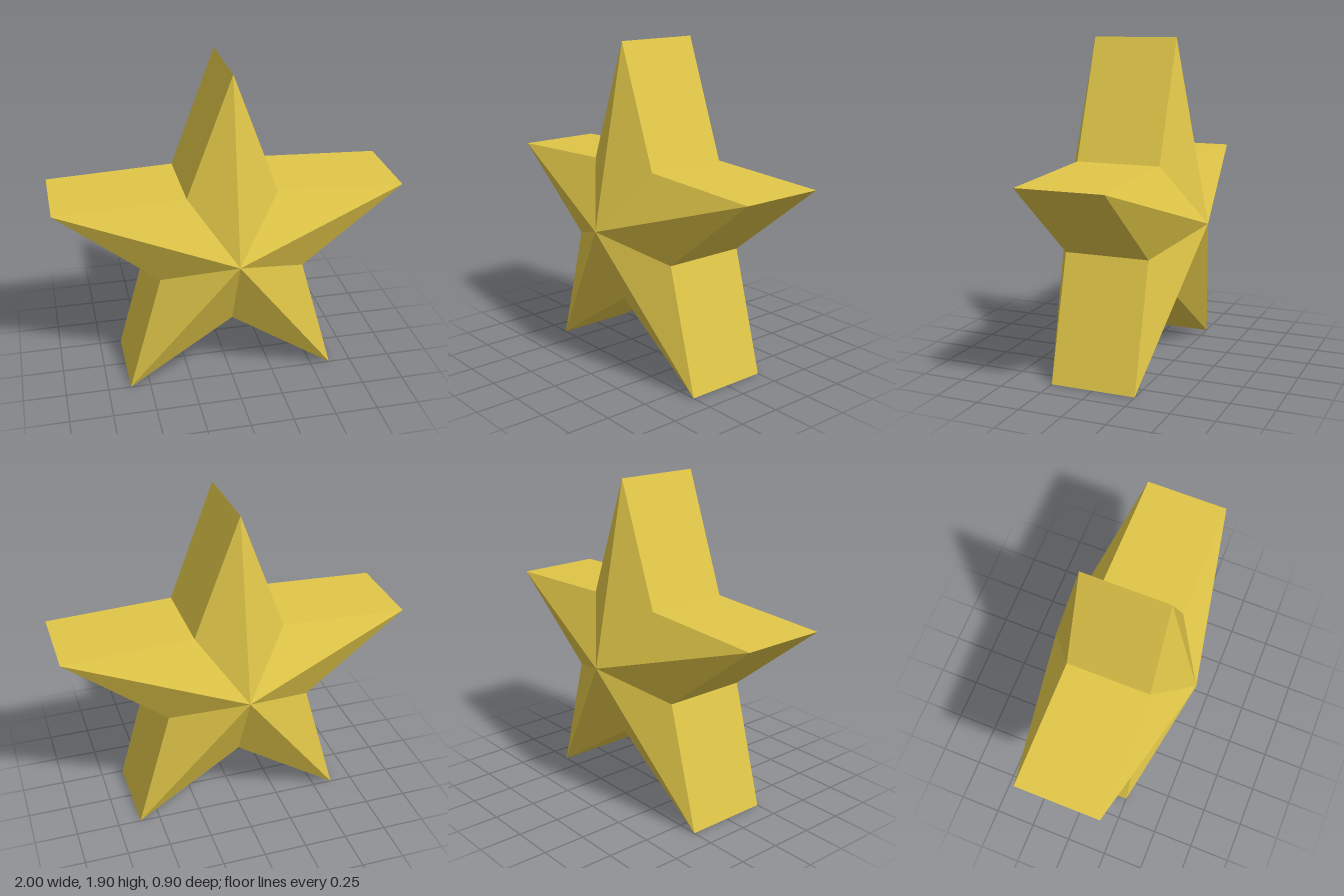
import * as THREE from 'three';

const CENTER_Y = 0.851, OUTER = 1.0515, INNER = 0.441;
const HALF_DEPTH = 0.25, PEAK = 0.45;

// Ten rim points, alternating tip and notch, counter-clockwise from the top tip
const rim = Array.from({ length: 10 }, (_, i) => {
  const a = Math.PI / 2 + (i * Math.PI) / 5;
  const r = i % 2 ? INNER : OUTER;
  return [r * Math.cos(a), r * Math.sin(a)];
});

function facets(triangles) {
  const geometry = new THREE.BufferGeometry();
  geometry.setAttribute('position', new THREE.Float32BufferAttribute(triangles.flat(2), 3));
  geometry.computeVertexNormals();
  return geometry;
}

export function createModel() {
  const gold = new THREE.MeshStandardMaterial({ color: 0xe0c648, flatShading: true });
  const face = [], sides = [];

  rim.forEach(([ax, ay], i) => {
    const [bx, by] = rim[(i + 1) % 10];
    const a = [ax, ay, HALF_DEPTH], b = [bx, by, HALF_DEPTH];
    const c = [ax, ay, -HALF_DEPTH], d = [bx, by, -HALF_DEPTH];
    face.push([[0, 0, PEAK], a, b]);
    sides.push([a, c, d], [a, d, b]);
  });

  const star = new THREE.Group();
  star.name = 'star';
  const add = (name, geometry) => {
    const mesh = new THREE.Mesh(geometry, gold);
    mesh.name = name;
    mesh.position.y = CENTER_Y;
    star.add(mesh);
    return mesh;
  };

  // Faceted pyramids on both faces, joined by the straight rim
  add('frontFace', facets(face));
  add('backFace', facets(face)).rotation.y = Math.PI;
  add('rim', facets(sides));
  return star;
}
